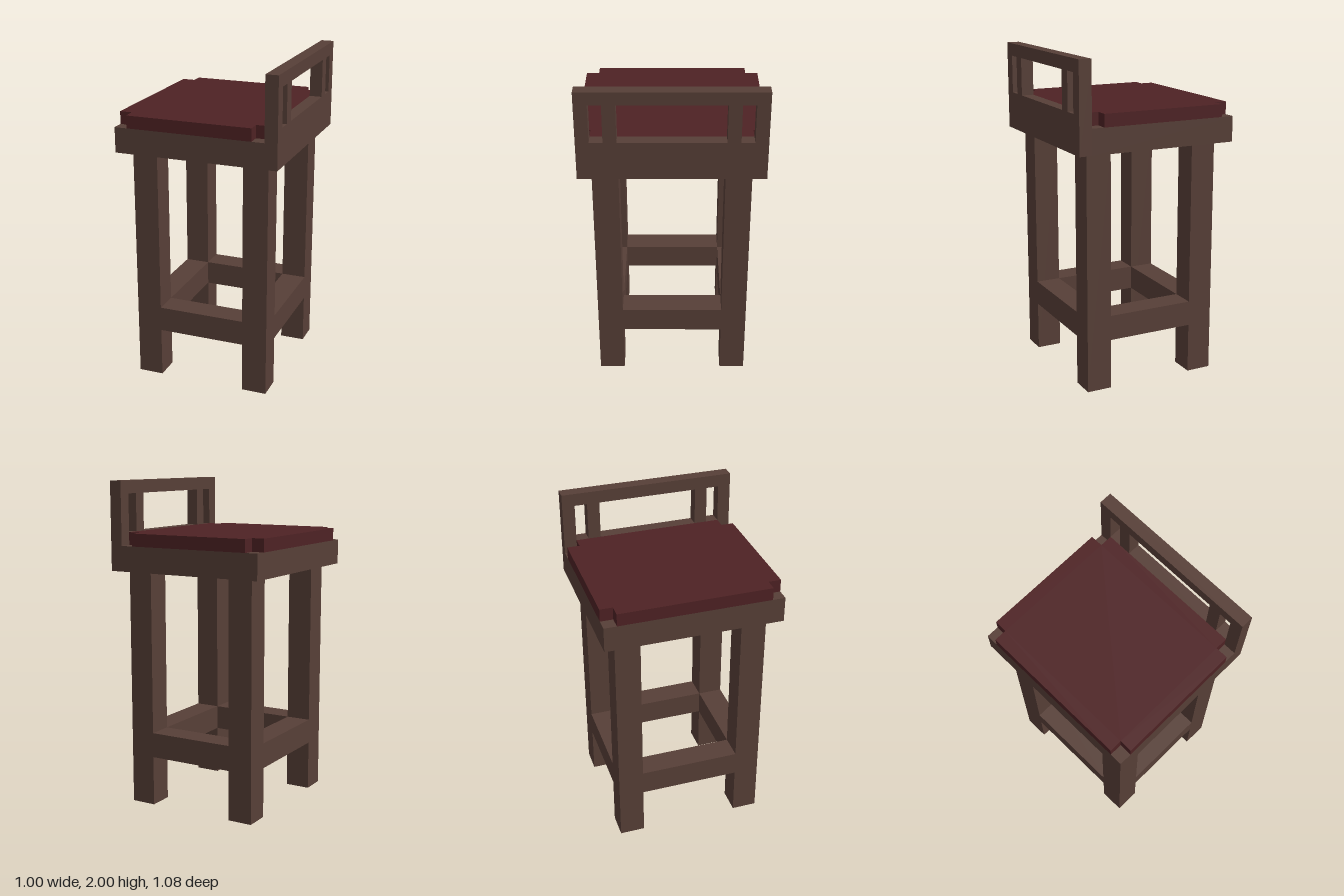
import * as THREE from 'three';

// Everything sits on a grid: 26 units tall, 13 wide, 14 deep
const U = 1 / 13;

export function createModel() {
  const stool = new THREE.Group();
  stool.name = 'barStool';

  const wood = new THREE.MeshStandardMaterial({ color: 0x573f37 });
  wood.name = 'dark wood';
  const fabric = new THREE.MeshStandardMaterial({ color: 0x4e2224 });
  fabric.name = 'dark red cushion';

  const add = (name, geometry, material) => {
    const mesh = new THREE.Mesh(geometry, material);
    mesh.name = name;
    stool.add(mesh);
    return mesh;
  };
  // Box given by its centre and size in grid units
  const box = (name, [x, y, z], [w, h, d]) =>
    add(name, new THREE.BoxGeometry(w * U, h * U, d * U), wood).position.set(x * U, y * U, z * U);
  const points = (list) => list.map(([a, b]) => new THREE.Vector2(a * U, b * U));
  const rect = (a0, b0, a1, b1) => points([[a0, b0], [a1, b0], [a1, b1], [a0, b1]]);

  // Legs
  for (const sx of [-1, 1]) {
    for (const sz of [-1, 1]) {
      box(`${sz > 0 ? 'front' : 'back'}${sx > 0 ? 'Left' : 'Right'}Leg`, [sx * 4.5, 9.5, sz * 5], [2, 19, 2]);
    }
  }

  // Foot rails, flush with the legs
  for (const s of [-1, 1]) {
    box(s > 0 ? 'frontRail' : 'backRail', [0, 5, s * 5], [7, 2, 2]);
    box(s > 0 ? 'leftRail' : 'rightRail', [s * 4.5, 5, 0], [2, 2, 8]);
  }

  // Seat slab
  box('seat', [-0.5, 20, 0], [12, 2, 14]);

  // Cushion with notched corners
  const cushionShape = new THREE.Shape(points([
    [-5.5, -7], [4.5, -7], [4.5, -6], [5.5, -6], [5.5, 6], [4.5, 6],
    [4.5, 7], [-5.5, 7], [-5.5, 6], [-6.5, 6], [-6.5, -6], [-5.5, -6],
  ]));
  const cushion = new THREE.ExtrudeGeometry(cushionShape, { depth: U, bevelEnabled: false });
  cushion.rotateX(-Math.PI / 2).translate(0, 21 * U, 0);
  add('cushion', cushion, fabric);

  // Low backrest with one wide and two narrow openings
  const backShape = new THREE.Shape(rect(-7, 19, 7, 26));
  for (const [a, b] of [[-6, -5], [-4, 4], [5, 6]]) {
    backShape.holes.push(new THREE.Path(rect(a, 22, b, 25)));
  }
  const back = new THREE.ExtrudeGeometry(backShape, { depth: U, bevelEnabled: false });
  back.rotateY(-Math.PI / 2).translate(6.5 * U, 0, 0);
  add('backrest', back, wood);

  return stool;
}
